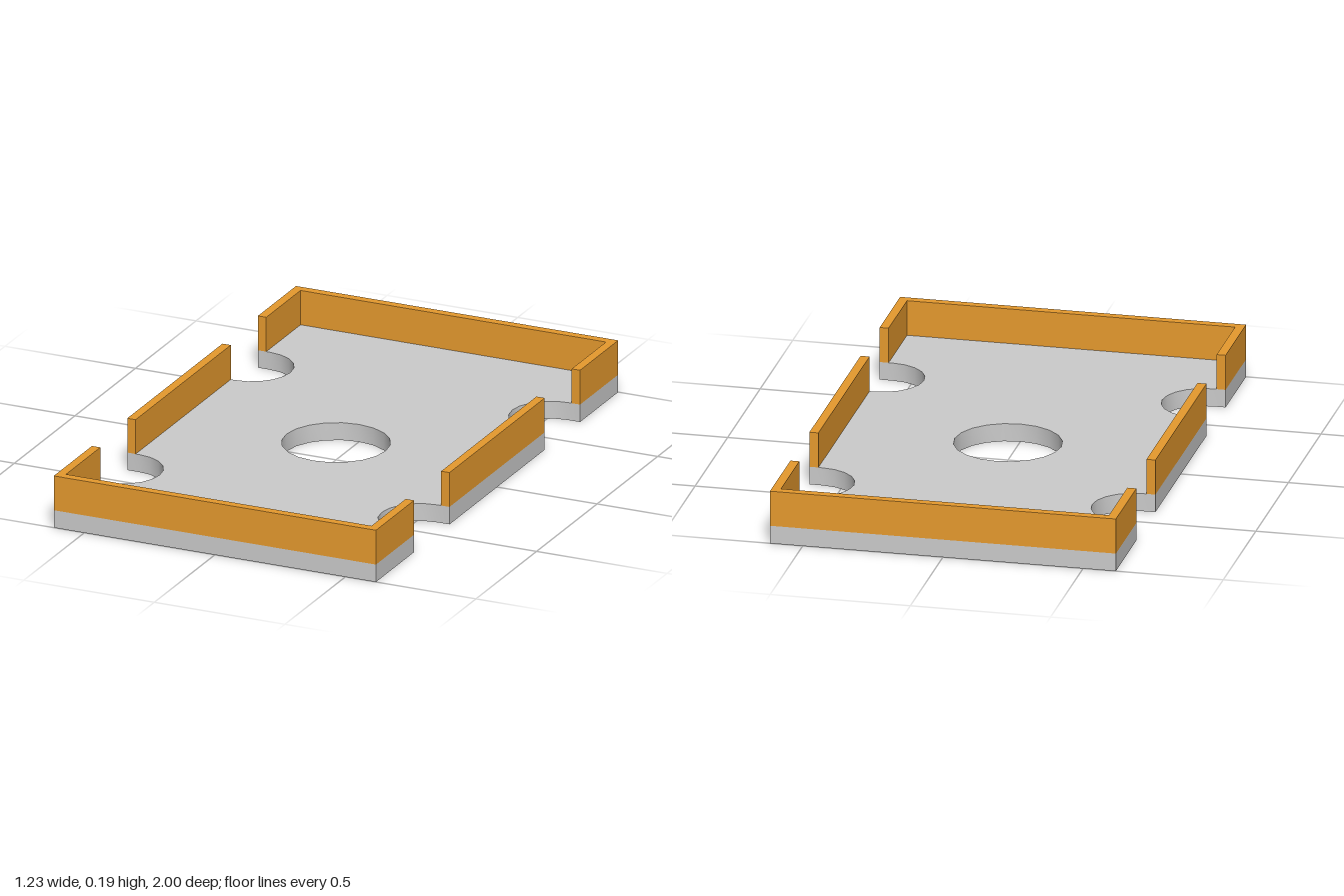
import * as THREE from 'three';
import { toCreasedNormals } from 'three/addons/utils/BufferGeometryUtils.js';

const W = 0.617, L = 1;            // half width, half length
const FLOOR = 0.065, TOP = 0.193;  // floor thickness, rim height
const T = 0.032;                   // rim thickness
const NOTCH_Z = 0.539, NOTCH_R = 0.146, NOTCH_X = 0.571;
const HOLE_R = 0.19;

// Extrudes a plan outline upwards from height y0 to y1
function slab(shape, y0, y1) {
  const g = new THREE.ExtrudeGeometry(shape, { depth: y1 - y0, bevelEnabled: false, curveSegments: 10 });
  g.rotateX(-Math.PI / 2).translate(0, y0, 0);
  return toCreasedNormals(g, 0.6);
}

function floorShape() {
  const pts = [];
  const add = (x, y) => pts.push(new THREE.Vector2(x, y));
  // Each side: a corner, two round-bottomed notches, then the next corner
  for (const s of [1, -1]) {
    add(s * W, -s * L);
    for (const c of [-NOTCH_Z, NOTCH_Z]) {
      add(s * W, s * (c - NOTCH_R));
      for (let i = 0; i <= 10; i++) {
        const a = (i / 10) * Math.PI;
        add(s * (NOTCH_X - NOTCH_R * Math.sin(a)), s * (c - NOTCH_R * Math.cos(a)));
      }
      add(s * W, s * (c + NOTCH_R));
    }
    add(s * W, s * L);
  }
  const shape = new THREE.Shape(pts);
  shape.holes.push(new THREE.Path().absarc(0, 0, HOLE_R, 0, Math.PI * 2, true));
  return shape;
}

export function createModel() {
  const model = new THREE.Group();
  model.name = 'notchedTray';
  const grey = new THREE.MeshStandardMaterial({ color: 0xcccccc });
  const amber = new THREE.MeshStandardMaterial({ color: 0xe69a2e });
  const add = (name, geometry, material) => {
    const mesh = new THREE.Mesh(geometry, material);
    mesh.name = name;
    model.add(mesh);
    return mesh;
  };

  // Floor plate with centre hole and four edge notches
  add('floorPlate', slab(floorShape(), 0, FLOOR), grey);

  // U-shaped rim at each end
  const inner = NOTCH_Z + NOTCH_R;
  const endShape = new THREE.Shape([
    [-W, -L], [W, -L], [W, -inner], [W - T, -inner],
    [W - T, -L + T], [-W + T, -L + T], [-W + T, -inner], [-W, -inner],
  ].map(([x, y]) => new THREE.Vector2(x, y)));
  const endGeometry = slab(endShape, FLOOR, TOP);
  add('frontRim', endGeometry, amber);
  add('backRim', endGeometry, amber).rotation.y = Math.PI;

  // Straight rim between the notches on each side
  const sideGeometry = new THREE.BoxGeometry(T, TOP - FLOOR, 2 * (NOTCH_Z - NOTCH_R));
  for (const [name, s] of [['leftRim', 1], ['rightRim', -1]]) {
    add(name, sideGeometry, amber).position.set(s * (W - T / 2), (FLOOR + TOP) / 2, 0);
  }
  return model;
}
